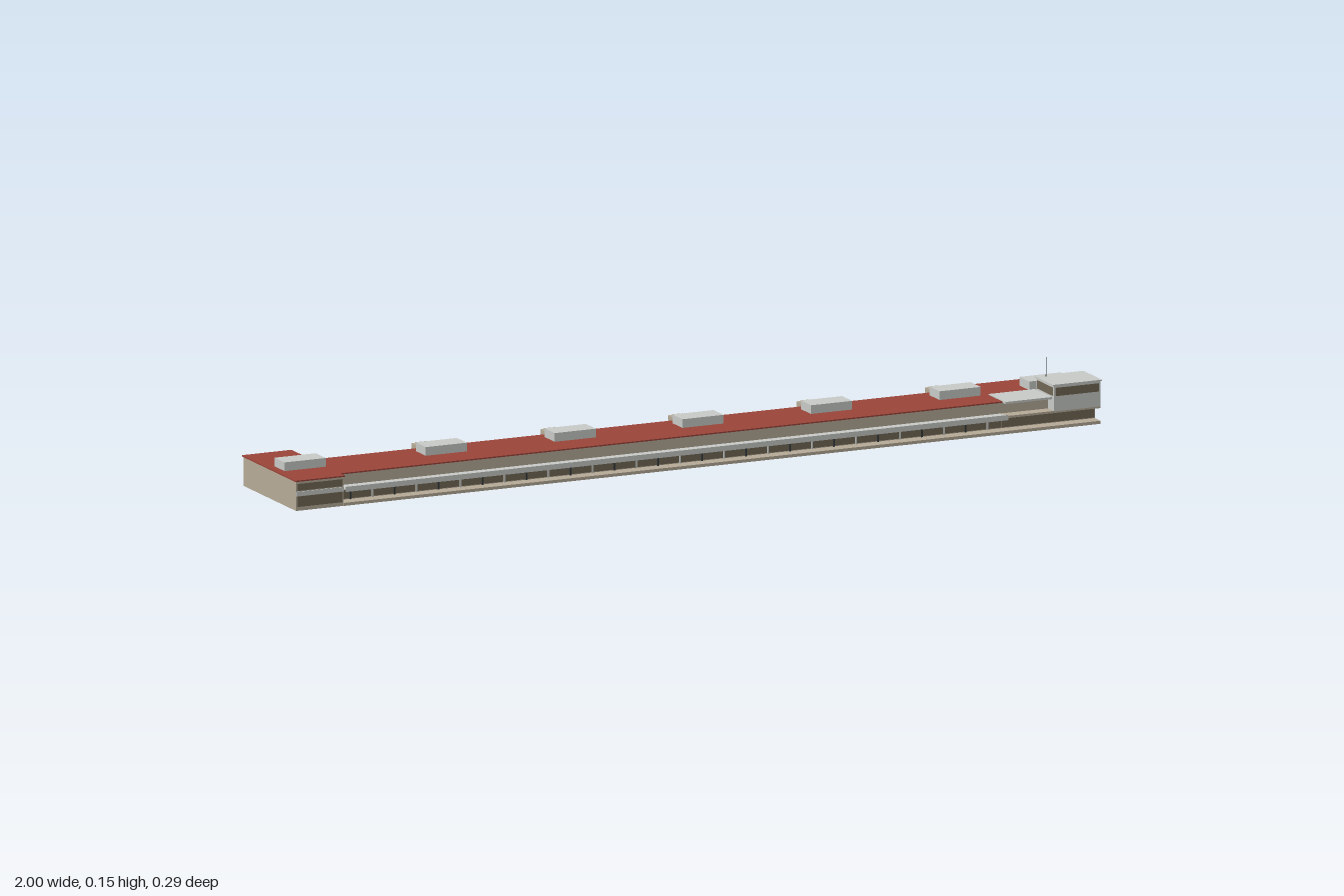
import * as THREE from 'three';

const mat = (name, color) => {
  const m = new THREE.MeshStandardMaterial({ color });
  m.name = name;
  return m;
};

export function createModel() {
  const model = new THREE.Group();
  model.name = 'longPavilion';
  const wall = mat('beige wall', 0xb8ac98);
  const roof = mat('red roof', 0x9c453a);
  const trim = mat('light grey trim', 0xc9ccc8);
  const glass = mat('brown glass', 0x716756);
  const dark = mat('dark metal', 0x34393c);

  // Box given by its limits on each axis
  const box = (name, m, x0, x1, y0, y1, z0, z1, parent = model) => {
    const mesh = new THREE.Mesh(new THREE.BoxGeometry(x1 - x0, y1 - y0, z1 - z0), m);
    mesh.position.set((x0 + x1) / 2, (y0 + y1) / 2, (z0 + z1) / 2);
    mesh.name = name;
    parent.add(mesh);
    return mesh;
  };

  // Ground slab and main blocks
  box('groundSlab', wall, -0.88, 0.998, 0, 0.007, 0.1, 0.135);
  box('mainHall', wall, -0.88, 0.765, 0, 0.067, -0.035, 0.105);
  box('eastWing', wall, 0.765, 0.998, 0, 0.067, -0.062, 0.105);
  box('westWing', wall, -0.998, -0.88, 0, 0.067, -0.14, 0.134);

  // Thin red roof slabs with a small overhang
  box('mainRoof', roof, -0.88, 0.765, 0.067, 0.07, -0.038, 0.112);
  box('westRoof', roof, -1, -0.877, 0.067, 0.07, -0.144, 0.136);
  box('eastRoof', roof, 0.765, 1, 0.067, 0.07, -0.07, 0.105);

  // Garage front with glazing and door posts
  const front = new THREE.Group();
  front.name = 'garageFront';
  model.add(front);
  box('garageGlass', glass, -0.878, 0.765, 0.009, 0.036, 0.105, 0.107, front);
  box('eastGlass', glass, 0.767, 0.996, 0.009, 0.034, 0.105, 0.107, front);
  for (let i = 0; i < 30; i++) {
    const x = -0.85 + i * 0.0545;
    box('doorPost', i % 2 ? trim : dark, x - 0.002, x + 0.002, 0.007, 0.038, 0.107, 0.109, front);
  }

  // Canopy over the garages, with upright fascia
  box('canopy', trim, -0.88, 0.765, 0.038, 0.041, 0.105, 0.143);
  box('canopyFascia', trim, -0.88, 0.765, 0.034, 0.046, 0.143, 0.145);
  box('eastCanopy', wall, 0.765, 0.998, 0.036, 0.041, 0.105, 0.134);

  // West wing front glazing in two storeys
  box('westUpperGlass', glass, -0.995, -0.883, 0.046, 0.062, 0.134, 0.135);
  box('westLowerGlass', glass, -0.995, -0.883, 0.009, 0.033, 0.134, 0.135);
  box('westBand', trim, -0.998, -0.88, 0.034, 0.044, 0.134, 0.136);

  // Rear stair towers with tall slits
  const bays = [-0.58, -0.26, 0.057, 0.376, 0.695];
  bays.forEach((x) => {
    const tower = new THREE.Group();
    tower.name = 'stairTower';
    model.add(tower);
    box('stairBlock', wall, x - 0.025, x + 0.025, 0, 0.069, -0.091, -0.035, tower);
    box('stairCap', wall, x - 0.014, x + 0.014, 0, 0.069, -0.096, -0.091, tower);
    for (const s of [-1, 1]) {
      const c = x + s * 0.0195;
      box('stairSlit', glass, c - 0.003, c + 0.003, 0.008, 0.06, -0.092, -0.0905, tower);
    }
  });

  // Rear window strips between the stair towers
  const stops = [-0.905, ...bays, 0.79];
  for (let i = 0; i < stops.length - 1; i++) {
    const a = stops[i] + 0.035, b = stops[i + 1] - 0.035;
    for (const [y0, y1] of [[0.013, 0.027], [0.042, 0.057]]) {
      box('rearWindow', glass, a, b, y0, y1, -0.0365, -0.035);
      box('rearSill', wall, a, b, y0 - 0.003, y0, -0.039, -0.035);
      const n = Math.max(1, Math.round((b - a) / 0.03));
      for (let k = 1; k < n; k++) {
        const x = a + ((b - a) * k) / n;
        box('rearMullion', wall, x - 0.0015, x + 0.0015, y0, y1, -0.0375, -0.035);
      }
    }
  }

  // Rooftop plant boxes
  for (const x of [-0.93, ...bays, 0.918]) {
    box('roofUnit', trim, x - 0.051, x + 0.051, 0.07, 0.09, -0.013, 0.039);
  }

  // Roof terrace and glazed control tower
  box('roofTerrace', trim, 0.765, 0.88, 0.067, 0.072, 0.04, 0.128);
  const tower = new THREE.Group();
  tower.name = 'controlTower';
  model.add(tower);
  box('towerBase', trim, 0.882, 0.997, 0.04, 0.074, 0.1, 0.135, tower);
  box('towerRoom', trim, 0.882, 0.997, 0.067, 0.099, 0.045, 0.135, tower);
  box('towerRoof', trim, 0.878, 1, 0.099, 0.102, 0.041, 0.138, tower);
  box('towerFrontGlass', glass, 0.886, 0.993, 0.075, 0.094, 0.135, 0.136, tower);
  box('towerRearGlass', glass, 0.886, 0.993, 0.075, 0.094, 0.044, 0.045, tower);
  box('towerLeftGlass', glass, 0.997, 0.998, 0.075, 0.094, 0.049, 0.131, tower);
  box('towerRightGlass', glass, 0.881, 0.882, 0.075, 0.094, 0.049, 0.131, tower);

  // Mast
  const mast = new THREE.Mesh(new THREE.CylinderGeometry(0.0008, 0.0012, 0.046, 8), dark);
  mast.position.set(0.9, 0.124, 0.057);
  mast.name = 'mast';
  tower.add(mast);

  return model;
}
